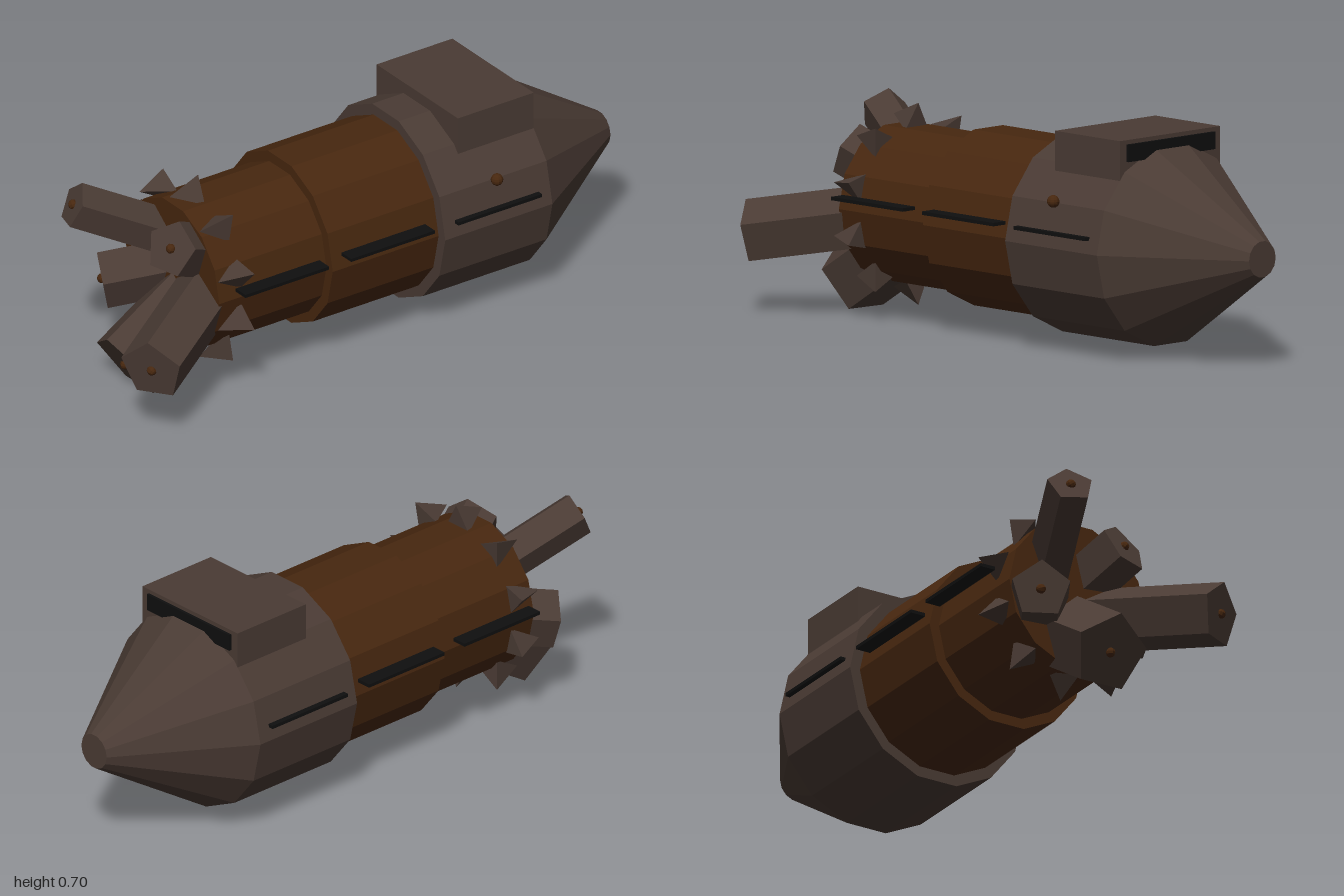
import * as THREE from 'three';

const mat = (name, color) => {
  const m = new THREE.MeshStandardMaterial({ color, flatShading: true });
  m.name = name;
  return m;
};

export function createModel() {
  const model = new THREE.Group();
  const hull = mat('grey brown hull', 0x4a3b34);
  const rust = mat('rust brown', 0x47270f);
  const black = mat('black', 0x0f0f0f);
  const CY = 0.363, CZ = -0.05; // long axis of the craft

  const add = (parent, name, geo, material, x = 0, y = 0, z = 0) => {
    const mesh = new THREE.Mesh(geo, material);
    mesh.name = name;
    mesh.position.set(x, y, z);
    parent.add(mesh);
    return mesh;
  };

  // Body sections: 14-sided drums stepping up towards the nose
  const drum = (name, x0, x1, rRear, rFront, material) => {
    const geo = new THREE.CylinderGeometry(rFront, rRear, x1 - x0, 14).rotateZ(-Math.PI / 2);
    add(model, name, geo, material, (x0 + x1) / 2, CY, CZ);
  };
  drum('rearBody', -0.635, -0.225, 0.25, 0.25, rust);
  drum('middleBody', -0.225, 0.18, 0.284, 0.284, rust);
  drum('frontBody', 0.18, 0.59, 0.32, 0.32, hull);
  drum('noseCone', 0.59, 1, 0.32, 0.058, hull);

  // Cabin on top with its dark front window
  add(model, 'cabin', new THREE.BoxGeometry(0.29, 0.17, 0.435), hull, 0.445, 0.628, -0.0475);
  add(model, 'cabinWindow', new THREE.BoxGeometry(0.009, 0.055, 0.377), black, 0.5945, 0.672, -0.0475);

  // Side lamp
  add(model, 'sideLamp', new THREE.SphereGeometry(0.02, 10, 8), rust, 0.385, 0.51, 0.26);

  // Thin dark strips along both sides
  for (const side of [-1, 1]) {
    for (const x of [-0.43, -0.025, 0.385]) {
      add(model, 'sideStrip', new THREE.BoxGeometry(0.32, 0.011, 0.052), black, x, 0.41, CZ + side * 0.301);
    }
  }

  // Group turned about the long axis so that its +y points outwards
  const spoke = (name, degrees) => {
    const g = new THREE.Group();
    g.name = name;
    g.position.set(0, CY, CZ);
    g.rotation.x = Math.PI / 2 - THREE.MathUtils.degToRad(degrees);
    model.add(g);
    return g;
  };

  // Five splayed pentagonal thrusters: end x and radius of each
  const tilt = THREE.MathUtils.degToRad(58);
  [[-0.95, 0.105], [-0.725, 0.09], [-0.885, 0.075], [-0.755, 0.095], [-0.82, 0.127]].forEach(([endX, r], i) => {
    const g = spoke('thruster', -17 + i * 72);
    const rootX = -0.56;
    const length = (rootX - endX) / Math.sin(tilt);
    const endY = 0.1 + length * Math.cos(tilt);
    const geo = new THREE.CylinderGeometry(r, r, length, 5, 1, false, -Math.PI / 2).rotateZ(tilt);
    add(g, 'thrusterBlock', geo, hull, (rootX + endX) / 2, (0.1 + endY) / 2, 0);
    add(g, 'thrusterLamp', new THREE.SphereGeometry(0.016, 8, 6), rust, endX, endY, 0);
  });

  // Ring of jagged shards round the rear rim
  for (let i = 0; i < 10; i++) {
    const g = spoke('rimShard', -90 + i * 36);
    const geo = new THREE.ConeGeometry(0.056, 0.105, 3, 1, false, Math.PI / 2).rotateZ(Math.PI / 2 - 0.1);
    add(g, 'shard', geo, hull, -0.595, 0.268, 0);
  }

  return model;
}
